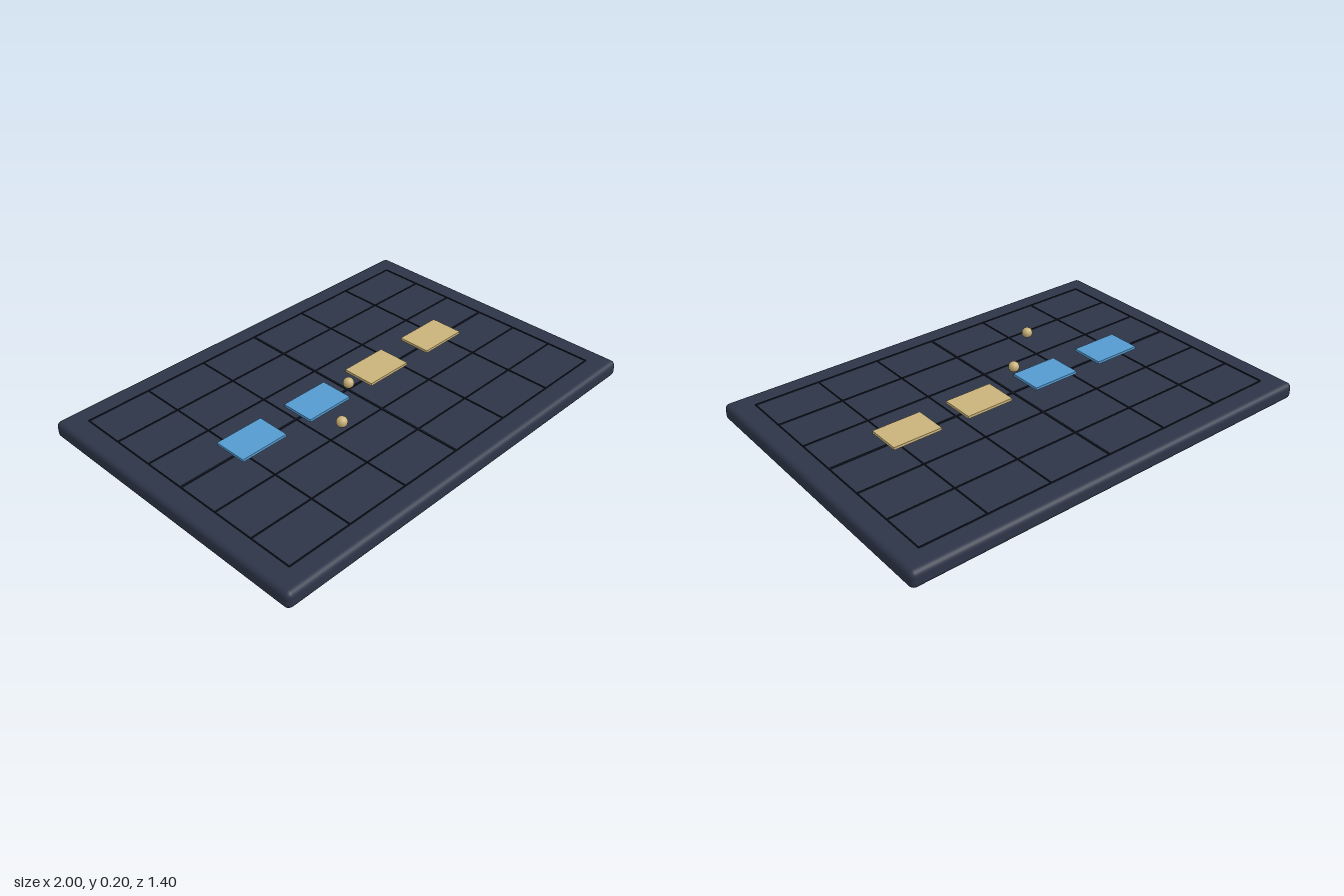
import * as THREE from 'three';
import { RoundedBoxGeometry } from 'three/addons/geometries/RoundedBoxGeometry.js';

const material = (name, color) => {
  const m = new THREE.MeshStandardMaterial({ color });
  m.name = name;
  return m;
};

export function createModel() {
  const model = new THREE.Group();
  model.name = 'gridBoard';
  const slate = material('slate', 0x2d3548);
  const ink = material('ink', 0x161b27);
  const blue = material('blue', 0x559acf);
  const sand = material('sand', 0xc9b27a);

  const add = (name, geometry, mat, x, y, z) => {
    const mesh = new THREE.Mesh(geometry, mat);
    mesh.name = name;
    mesh.position.set(x, y, z);
    model.add(mesh);
  };

  // Slab with softly rounded edges
  add('board', new RoundedBoxGeometry(2, 0.077, 1.4, 4, 0.025), slate, 0, 0.0385, 0);

  // Raised grid lines, the two centre axes a little wider
  const lineHeight = 0.006;
  const lineY = 0.079;
  for (let i = -3; i <= 3; i++) {
    const width = i === 0 ? 0.008 : 0.004;
    add('gridLineAcross', new THREE.BoxGeometry(1.8, lineHeight, width), ink, 0, lineY, i * 0.2);
    add('gridLineDeep', new THREE.BoxGeometry(width, lineHeight, 1.2), ink, i * 0.3, lineY, 0);
  }

  // Row of floating tiles, blue on the right half and sand on the left half
  for (const x of [-0.54, -0.18, 0.18, 0.54]) {
    add('tile', new THREE.BoxGeometry(0.228, 0.012, 0.155), x < 0 ? blue : sand, x, 0.107, 0);
  }

  // Two small hovering beads
  const bead = new THREE.SphereGeometry(0.024, 24, 16);
  add('frontBead', bead, sand, -0.277, 0.18, 0.24);
  add('middleBead', bead, sand, -0.05, 0.165, 0.055);

  return model;
}
